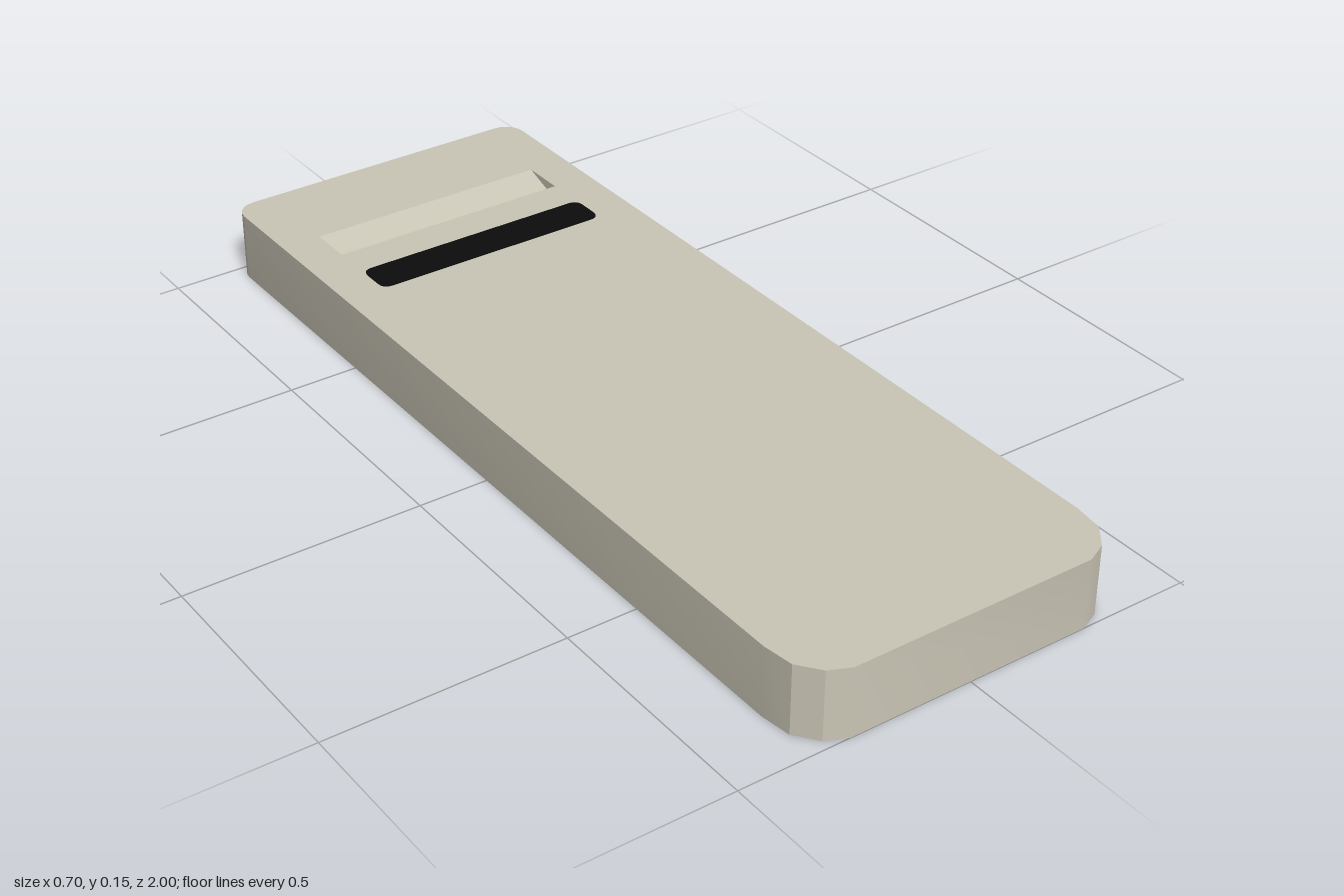
import * as THREE from 'three';
import { toCreasedNormals } from 'three/addons/utils/BufferGeometryUtils.js';

const HEIGHT = 0.149;
const HALF_SLOT = 0.265;

// Plan outline as [x, z]: small rear corners, larger tapered front corners
function outlinePoints() {
  const side = [];
  const r = 0.045;
  for (let i = 0; i <= 5; i++) {
    const a = (i / 5) * Math.PI / 2;
    side.push([0.352 - r + r * Math.sin(a), -1 + r - r * Math.cos(a)]);
  }
  side.push([0.352, 0.87], [0.343, 0.935], [0.308, 0.98], [0.264, 1]);
  return [...side, ...side.map(([x, z]) => [-x, z]).reverse()];
}

// Quads from a list of [a, b, c, d] corners, counter-clockwise from outside
function quads(list, crease) {
  const pos = list.flatMap(([a, b, c, d]) => [a, b, c, a, c, d].flat());
  const geo = new THREE.BufferGeometry();
  geo.setAttribute('position', new THREE.Float32BufferAttribute(pos, 3));
  return toCreasedNormals(geo, crease);
}

const toShape = (pts) => new THREE.Shape(pts.map(([x, y]) => new THREE.Vector2(x, y)));

export function createModel() {
  const model = new THREE.Group();
  const shell = new THREE.MeshStandardMaterial({ color: 0xcac6b6 });
  const shellThin = new THREE.MeshStandardMaterial({ color: 0xcac6b6, side: THREE.DoubleSide });
  const black = new THREE.MeshStandardMaterial({ color: 0x0c0c0c });

  const add = (parent, name, geo, mat) => {
    const mesh = new THREE.Mesh(geo, mat);
    mesh.name = name;
    parent.add(mesh);
    return mesh;
  };

  const body = new THREE.Group();
  body.name = 'body';
  model.add(body);
  const pts = outlinePoints();

  // Side wall running round the outline
  const wall = pts.map(([x, z], i) => {
    const [u, w] = pts[(i + 1) % pts.length];
    return [[x, 0, z], [x, HEIGHT, z], [u, HEIGHT, w], [u, 0, w]];
  });
  add(body, 'sideWall', quads(wall, 0.45), shell);

  // Top face with an opening for the finger notch
  const topShape = toShape(pts.map(([x, z]) => [x, -z]));
  topShape.holes.push(toShape([
    [-HALF_SLOT, 0.69], [-HALF_SLOT, 0.785], [HALF_SLOT, 0.785], [HALF_SLOT, 0.69],
  ]));
  const top = new THREE.ShapeGeometry(topShape).rotateX(-Math.PI / 2).translate(0, HEIGHT, 0);
  add(body, 'topFace', top, shell);

  // Bottom face
  add(body, 'bottomFace', new THREE.ShapeGeometry(toShape(pts)).rotateX(Math.PI / 2), shell);

  // Finger notch: ramp sinking towards the front, ending at an undercut wall
  const notch = new THREE.Group();
  notch.name = 'fingerNotch';
  model.add(notch);
  const profile = [[-0.785, HEIGHT], [-0.745, 0.135], [-0.7, 0.121], [-0.655, 0.109], [-0.69, HEIGHT]];
  const strip = profile.slice(1).map(([z1, y1], i) => {
    const [z0, y0] = profile[i];
    return [[-HALF_SLOT, y0, z0], [-HALF_SLOT, y1, z1], [HALF_SLOT, y1, z1], [HALF_SLOT, y0, z0]];
  });
  add(notch, 'notchRamp', quads(strip, 0.6), shellThin);
  for (const s of [-1, 1]) {
    const cheek = new THREE.ShapeGeometry(toShape(profile)).rotateY(-Math.PI / 2);
    add(notch, s > 0 ? 'leftCheek' : 'rightCheek', cheek, shellThin).position.x = s * HALF_SLOT;
  }

  // Thin black bar with rounded corners in front of the notch
  const w = HALF_SLOT, h = 0.0425, r = 0.022;
  const barShape = new THREE.Shape()
    .moveTo(-w + r, -h).lineTo(w - r, -h).quadraticCurveTo(w, -h, w, -h + r)
    .lineTo(w, h - r).quadraticCurveTo(w, h, w - r, h)
    .lineTo(-w + r, h).quadraticCurveTo(-w, h, -w, h - r)
    .lineTo(-w, -h + r).quadraticCurveTo(-w, -h, -w + r, -h);
  const bar = new THREE.ExtrudeGeometry(barShape, { depth: 0.003, bevelEnabled: false, curveSegments: 5 });
  add(model, 'blackBar', bar.rotateX(-Math.PI / 2), black).position.set(0, 0.148, -0.5625);

  return model;
}
